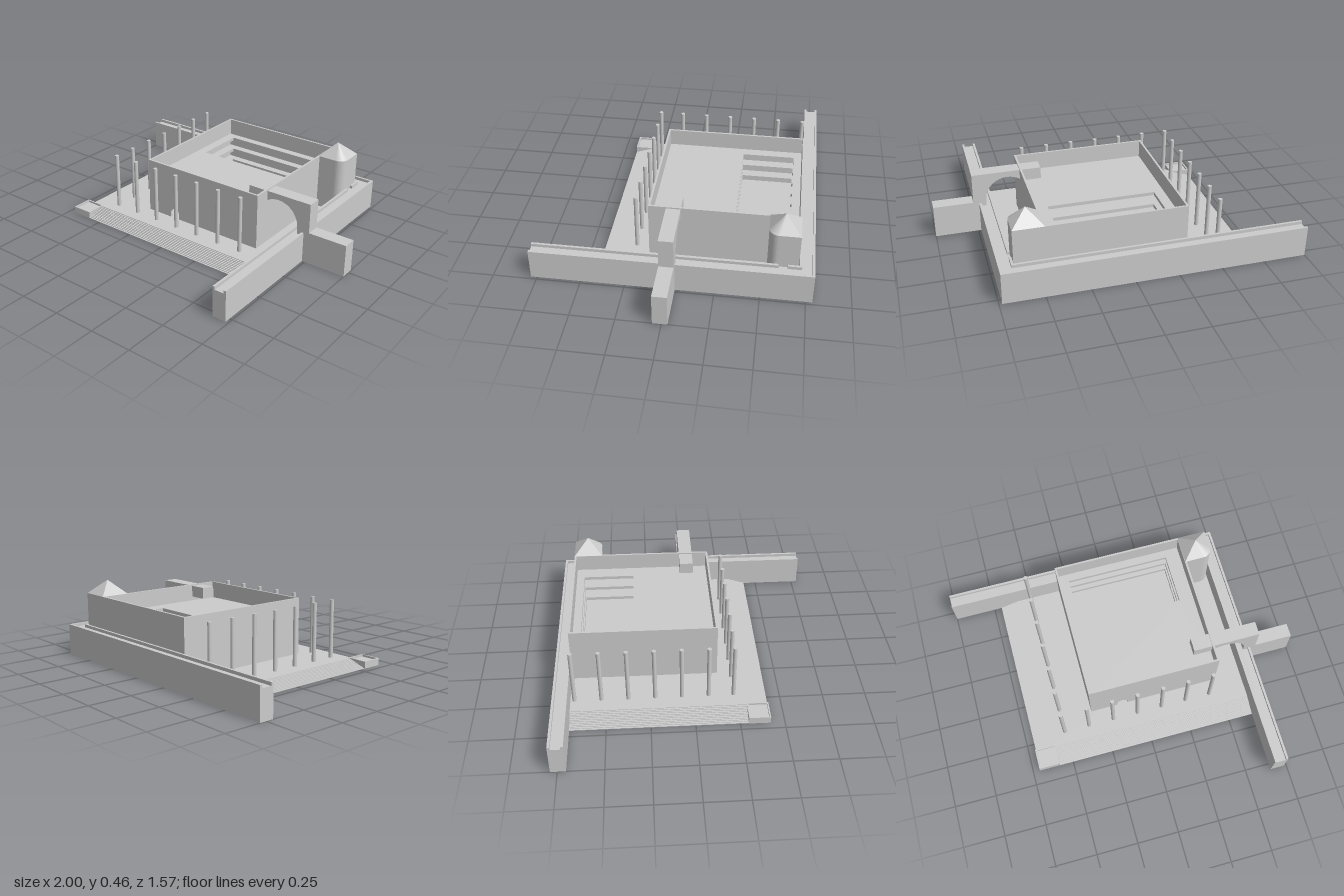
import * as THREE from 'three';

const mat = new THREE.MeshStandardMaterial({ color: 0xcccccc });
const flat = new THREE.MeshStandardMaterial({ color: 0xcccccc, flatShading: true, side: THREE.DoubleSide });

function add(parent, name, geometry, material = mat) {
  const mesh = new THREE.Mesh(geometry, material);
  mesh.name = name;
  parent.add(mesh);
  return mesh;
}

// Box from its extents
function block(parent, name, x0, x1, y0, y1, z0, z1) {
  const g = new THREE.BoxGeometry(x1 - x0, y1 - y0, z1 - z0);
  return add(parent, name, g.translate((x0 + x1) / 2, (y0 + y1) / 2, (z0 + z1) / 2));
}

const rect = (Kind, x0, x1, y0, y1) =>
  new Kind([[x0, y0], [x1, y0], [x1, y1], [x0, y1]].map(([x, y]) => new THREE.Vector2(x, y)));

// Plan shape (x, -z) raised from y0 to y1
function slab(parent, name, shape, y0, y1) {
  const g = new THREE.ExtrudeGeometry(shape, { depth: y1 - y0, bevelEnabled: false, curveSegments: 4 });
  return add(parent, name, g.rotateX(-Math.PI / 2).translate(0, y0, 0));
}

// Rectangular plate with a rectangular hole; extents are [x0, x1, z0, z1]
function frame(parent, name, o, h, y0, y1) {
  const shape = rect(THREE.Shape, o[0], o[1], -o[3], -o[2]);
  shape.holes.push(rect(THREE.Path, h[0], h[1], -h[3], -h[2]));
  return slab(parent, name, shape, y0, y1);
}

// Elevation shape (x, y) extruded from z0 to z1
function upright(parent, name, shape, z0, z1) {
  const g = new THREE.ExtrudeGeometry(shape, { depth: z1 - z0, bevelEnabled: false, curveSegments: 24 });
  return add(parent, name, g.translate(0, 0, z0));
}

function group(parent, name) {
  const g = new THREE.Group();
  g.name = name;
  parent.add(g);
  return g;
}

export function createModel() {
  const model = new THREE.Group();
  model.name = 'courtyardComplex';
  const P = 0.04; // platform height

  // Thin platform, open below, with a pit in its underside
  const base = group(model, 'platform');
  const pit = [0.13, 0.46, -0.015, 0.07];
  frame(base, 'platformPlate', [-0.585, 0.65, -0.705, 0.3], pit, 0.034, P);
  frame(base, 'pitWalls', [0.12, 0.47, -0.025, 0.08], pit, P, 0.075);
  block(base, 'pitLid', 0.12, 0.47, 0.075, 0.08, -0.025, 0.08);

  // Fine steps along the front and the right side
  const steps = group(model, 'steps');
  const n = 12, tread = 0.12 / n, rise = P / n;
  for (let i = 0; i < n; i++) {
    const top = P - i * rise, d = i * tread;
    block(steps, 'frontStep', -0.585, 0.65, top - rise, top, 0.3 + d, 0.3 + d + tread);
    block(steps, 'sideStep', -0.585 - d - tread, -0.585 - d, top - rise, top, -0.705, 0.3);
  }

  // Corner tray where the flights meet
  const tray = group(model, 'cornerTray');
  frame(tray, 'trayRim', [-0.708, -0.583, 0.297, 0.42], [-0.7, -0.591, 0.305, 0.412], 0, P + 0.002);
  block(tray, 'trayFloor', -0.703, -0.588, 0.024, 0.03, 0.302, 0.415);

  // Enclosure walls with a sunken walkway between parapets
  const walls = group(model, 'enclosureWalls');
  const H = 0.183, W = 0.165, r = 0.014;
  block(walls, 'backWall', -1, 0.733, 0, W, -0.788, -0.704);
  block(walls, 'backOuterParapet', -1, 0.733, W, H, -0.788, -0.788 + r);
  block(walls, 'backInnerParapet', -1, 0.65 + r, W, H, -0.704 - r, -0.704);
  block(walls, 'leftWall', 0.65, 0.733, 0, W, -0.704, 0.785);
  block(walls, 'leftOuterParapet', 0.733 - r, 0.733, W, H, -0.788 + r, 0.785);
  block(walls, 'leftInnerParapetBack', 0.65, 0.65 + r, W, H, -0.704, -0.64);
  block(walls, 'leftInnerParapetFront', 0.65, 0.65 + r, W, H, -0.59, 0.785);

  // Main hall: thin walls and an arched doorway
  const hall = group(model, 'hall');
  const T = 0.378, x0 = -0.315, x1 = 0.485, z0 = -0.7, z1 = 0.15, t = 0.012;
  block(hall, 'hallBackWall', x0, x1, P, T, z0, z0 + t);
  block(hall, 'hallRightWall', x0, x0 + t, P, T, z0 + t, z1 - t);
  block(hall, 'hallLeftWall', x1 - t, x1, P, T, z0 + t, z1 - t);
  const front = new THREE.Shape();
  front.moveTo(x0, P);
  front.lineTo(-0.147, P);
  front.lineTo(-0.147, 0.07);
  front.absarc(-0.115, 0.07, 0.032, Math.PI, 0, true);
  front.lineTo(-0.083, P);
  front.lineTo(x1, P);
  front.lineTo(x1, T);
  front.lineTo(x0, T);
  upright(hall, 'hallFrontWall', front, z1 - t, z1);

  // Storeys around an open light well
  for (const top of [0.275, 0.195, 0.115]) {
    frame(hall, 'storeyFloor', [x0 + t, x1 - t, z0 + t, z1 - t], [-0.245, 0.385, -0.64, -0.33], top - 0.02, top);
  }

  // Corner tower with one rounded corner and a pointed roof
  const tower = group(model, 'tower');
  const plan = new THREE.Shape();
  plan.moveTo(0.475, 0.7);
  plan.lineTo(0.475, 0.527);
  plan.lineTo(0.595, 0.527);
  plan.absarc(0.595, 0.582, 0.055, -Math.PI / 2, 0, false);
  plan.lineTo(0.65, 0.7);
  slab(tower, 'towerBody', plan, P, T);
  const rim = plan.getPoints(4), apex = [0.56, 0.461, -0.612], pos = [];
  rim.forEach((p, i) => {
    const q = rim[(i + 1) % rim.length];
    pos.push(p.x, T, -p.y, q.x, T, -q.y, ...apex);
  });
  const roof = new THREE.BufferGeometry();
  roof.setAttribute('position', new THREE.Float32BufferAttribute(pos, 3));
  roof.computeVertexNormals();
  add(tower, 'towerRoof', roof, flat);

  // Columns in an L along the right and front sides
  const columns = group(model, 'columns');
  const column = (x, z) =>
    add(columns, 'column', new THREE.CylinderGeometry(0.012, 0.012, 0.343, 16)).position.set(x, P + 0.1715, z);
  for (let i = 0; i < 7; i++) {
    column(-0.503 + i * 0.1545, 0.23);
    if (i < 6) column(-0.503, 0.087 - i * 0.1535);
  }

  // Arch springing from the hall over the left wall
  const gate = group(model, 'archBridge');
  const arch = new THREE.Shape();
  arch.moveTo(0.36, 0.3);
  arch.lineTo(0.36, 0.37);
  arch.lineTo(0.767, 0.37);
  arch.lineTo(0.767, 0.16);
  arch.lineTo(0.69, 0.16);
  arch.lineTo(0.69, 0.205);
  arch.absarc(0.56, 0.205, 0.13, 0, Math.PI - 0.82, false);
  upright(gate, 'arch', arch, -0.033, 0.05);
  block(gate, 'outerWall', 0.733, 1, 0, 0.193, -0.033, 0.05);

  return model;
}
